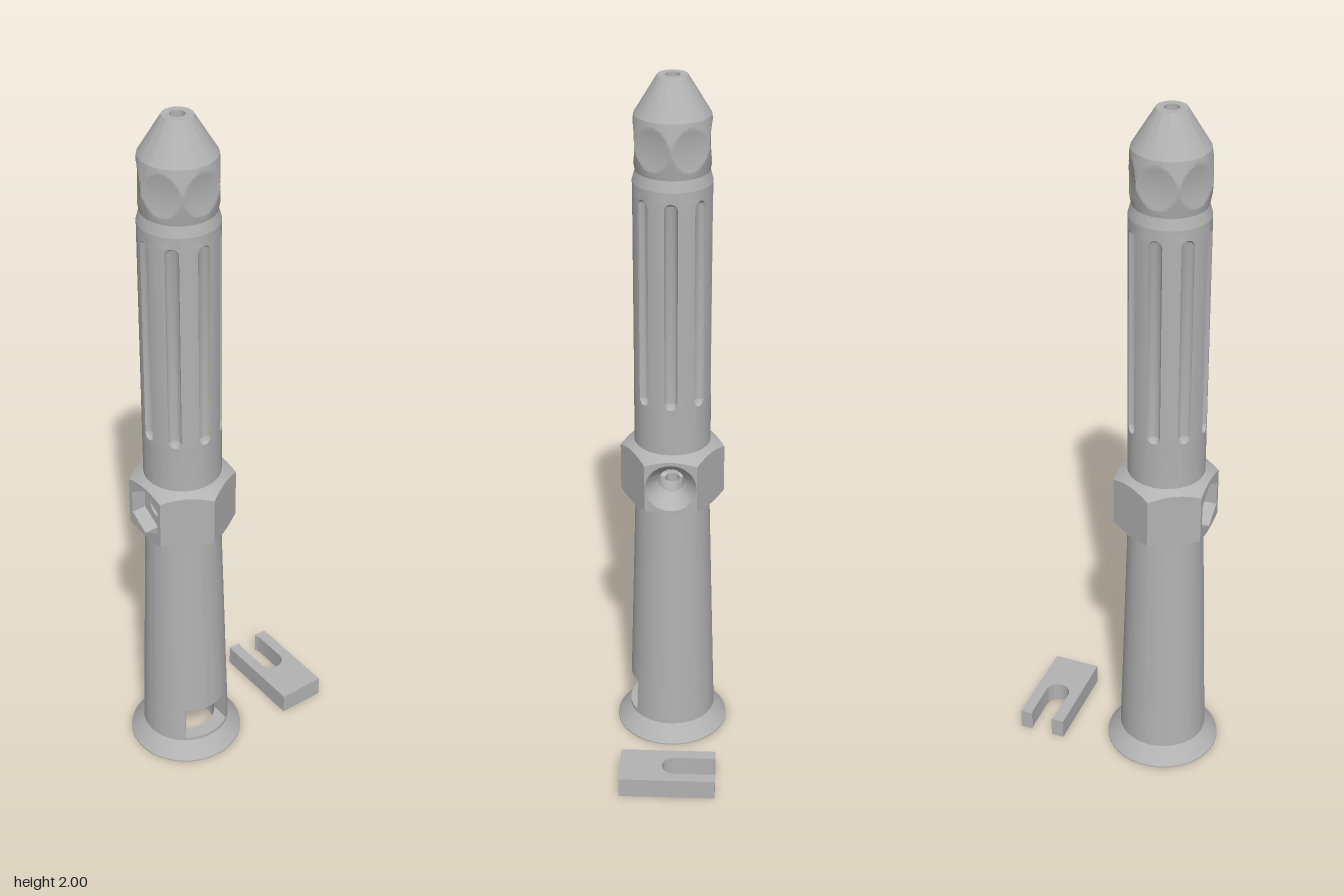
import * as THREE from 'three';
import { toCreasedNormals } from 'three/addons/utils/BufferGeometryUtils.js';

const CX = -0.121, TAU = Math.PI * 2, SEG = 96;
const R = 0.107;                       // shaft radius
const BORE = 0.085, PIN = 0.036;       // lower bore, cross hole
const HOLE_Y = 0.862, APO = 0.127;     // cross hole height, hex apothem

// Grid surface: columns run counter-clockwise seen from above, rows run up the outside
function surf(cols, rows, fn, crease = 0.4) {
  const pos = [], idx = [];
  for (let i = 0; i <= rows; i++) {
    for (let j = 0; j <= cols; j++) {
      const [r, y, a] = fn(i, j);
      pos.push(r * Math.sin(a), y, r * Math.cos(a));
      if (i < rows && j < cols) {
        const p = i * (cols + 1) + j, q = p + cols + 1;
        idx.push(p, p + 1, q, p + 1, q + 1, q);
      }
    }
  }
  const g = new THREE.BufferGeometry();
  g.setAttribute('position', new THREE.Float32BufferAttribute(pos, 3));
  g.setIndex(idx);
  return toCreasedNormals(g, crease);
}

const revolve = (pts, from = 0, to = TAU) => surf(SEG, pts.length - 1,
  (i, j) => [pts[i][0], pts[i][1], from + (to - from) * j / SEG]);

// Distance to the edge of a regular hexagon with flats facing +x and -x
const hexRadius = (a, apothem) => {
  const step = Math.PI / 3, o = a - Math.PI / 2;
  return apothem / Math.cos(o - step * Math.round(o / step));
};

function ngonPath(n, r, start, cy) {
  const p = [];
  for (let i = 0; i < n; i++) {
    const a = start + TAU * i / n;
    p.push(new THREE.Vector2(r * Math.cos(a), cy + r * Math.sin(a)));
  }
  return p;
}

export function createModel() {
  const grey = new THREE.MeshStandardMaterial({ color: 0xb2b2b2, side: THREE.DoubleSide });
  grey.name = 'plain grey';
  const model = new THREE.Group();
  const tower = new THREE.Group();
  tower.name = 'handle';
  tower.position.x = CX;
  model.add(tower);
  const add = (name, geo, parent = tower) => {
    const m = new THREE.Mesh(geo, grey);
    m.name = name;
    parent.add(m);
    return m;
  };

  // Flared foot and tapered lower tube, with a window through the front wall
  const y0 = 0.06, y1 = 0.165, half = 0.073;
  const wall = y => 0.126 - 0.02 * (y - 0.05) / 0.715;
  add('foot', revolve([[BORE, y0], [BORE, 0], [0.164, 0], [0.164, 0.004], [0.126, 0.05], [wall(y0), y0]]));
  const outA = Math.asin(half / wall(y0)), inA = Math.asin(half / BORE);
  add('windowBandOuter', revolve([[wall(y0), y0], [wall(y1), y1]], outA, TAU - outA));
  add('windowBandInner', revolve([[BORE, y1], [BORE, y0]], inA, TAU - inA));
  for (const y of [y0, y1]) {
    const ends = y === y0 ? [wall(y), BORE] : [BORE, wall(y)];
    add('windowLedge', revolve(ends.map(r => [r, y]), -inA, inA));
  }
  const zOut = wall(y0) * Math.cos(outA), zIn = BORE * Math.cos(inA);
  for (const s of [-1, 1]) {
    const jamb = new THREE.PlaneGeometry(zOut - zIn, y1 - y0).rotateY(-s * Math.PI / 2);
    add('windowJamb', jamb.translate(s * half, (y0 + y1) / 2, (zOut + zIn) / 2));
  }
  add('lowerTube', revolve([[wall(y1), y1], [0.106, 0.77]]));
  add('lowerBore', revolve([[0.02, 0.83], [0.02, 0.74], [BORE, 0.7], [BORE, y1]]));

  // Hexagonal collar: conical chamfers above and below, six flat sides
  const topY = r => 0.957 - (r - R) * 0.65;
  const lowY = r => 0.77 + (r - 0.106) * 0.5;
  add('collarTop', surf(SEG, 1, (i, j) => {
    const a = TAU * j / SEG, r = i ? R : hexRadius(a, APO);
    return [r, topY(r), a];
  }));
  add('collarUnderside', surf(SEG, 1, (i, j) => {
    const a = TAU * j / SEG, r = i ? hexRadius(a, APO) : 0.106;
    return [r, lowY(r), a];
  }));
  const side = APO * Math.tan(Math.PI / 6), N = 16;
  for (let k = 0; k < 6; k++) {
    const pts = [];
    for (let i = 0; i <= N; i++) {
      const s = -side + 2 * side * i / N;
      pts.push(new THREE.Vector2(s, lowY(Math.hypot(APO, s))));
    }
    for (let i = N; i >= 0; i--) {
      const s = -side + 2 * side * i / N;
      pts.push(new THREE.Vector2(s, topY(Math.hypot(APO, s))));
    }
    const shape = new THREE.Shape(pts);
    if (k === 0) shape.holes.push(new THREE.Path(ngonPath(48, 0.072, 0, HOLE_Y)));
    if (k === 3) shape.holes.push(new THREE.Path(ngonPath(6, 0.07, Math.PI / 2, HOLE_Y)));
    add('collarSide', new THREE.ShapeGeometry(shape)
      .translate(0, 0, APO).rotateY(Math.PI / 2 + k * Math.PI / 3));
  }

  // Cross hole: countersink on the left, nut pocket on the right
  const bar = (name, rLeft, rRight, xa, xb, n = 48) => add(name, toCreasedNormals(
    new THREE.CylinderGeometry(rLeft, rRight, xb - xa, n, 1, true)
      .rotateZ(-Math.PI / 2).translate((xa + xb) / 2, HOLE_Y, 0), 0.4));
  bar('countersink', 0.072, PIN, 0.08, APO);
  bar('crossHoleLeft', PIN, PIN, 0.02, 0.08);
  bar('crossHoleRight', PIN, PIN, -0.085, -0.02);
  const pocketFloor = new THREE.Shape(ngonPath(6, 0.07, Math.PI / 2, HOLE_Y));
  pocketFloor.holes.push(new THREE.Path(ngonPath(48, PIN, 0, HOLE_Y)));
  add('nutPocketFloor', new THREE.ShapeGeometry(pocketFloor)
    .rotateY(-Math.PI / 2).translate(-0.085, 0, 0));
  const pocketWall = new THREE.CylinderGeometry(0.07, 0.07, APO - 0.085, 6, 1, true);
  add('nutPocketWall', toCreasedNormals(pocketWall.rotateX(0).rotateZ(-Math.PI / 2)
    .rotateX(Math.PI / 2).translate(-(APO + 0.085) / 2, HOLE_Y, 0), 0.4));

  // Grip with eight round-ended flutes
  const W = 0.018, E = 8;
  const rows = [[0.957, 0]];
  for (let i = 0; i <= E; i++) {
    const a = Math.PI / 2 * i / E;
    rows.push([1.095 + W * (1 - Math.cos(a)), W * Math.sin(a)]);
  }
  for (let i = E; i >= 0; i--) {
    const a = Math.PI / 2 * i / E;
    rows.push([1.69 - W * (1 - Math.cos(a)), W * Math.sin(a)]);
  }
  rows.push([1.72, 0]);
  const per = 16, pitch = TAU / 8, edge = R * pitch / 2;
  add('flutedGrip', surf(8 * per, rows.length - 1, (i, j) => {
    const [y, w] = rows[i], k = Math.floor(j / per), c = j % per;
    let s, depth = 0;
    if (c < 3) s = -edge + (edge - w) * c / 3;
    else if (c > 13) s = w + (edge - w) * (c - 13) / 3;
    else {
      s = w * Math.sin(Math.PI / 2 * (c - 8) / 5);
      depth = 0.85 * Math.sqrt(Math.max(0, w * w - s * s));
    }
    return [R - depth, y, k * pitch + s / R];
  }, 0.5));

  // Neck and six-sided scooped knob
  add('neck', revolve([[R, 1.72], [0.099, 1.75]]));
  const knobRows = 40, mid = 1.825;
  add('scoopedKnob', surf(144, knobRows, (i, j) => {
    const y = 1.75 + 0.15 * i / knobRows, d = y - mid, a = TAU * j / 144;
    const bicone = 0.113 - Math.abs(d) * (d > 0 ? 0.16 : 0.187);
    const scoop = hexRadius(a + Math.PI / 6, 0.097 + 1.6 * d * d);
    return [Math.min(bicone, scoop), y, a];
  }, 0.3));

  // Nose cone with the central bore
  add('noseCone', revolve([[0.101, 1.9], [0.04, 2], [0.02, 2], [0.02, 0.895]]));

  // Separate forked clip lying beside the handle
  const mx = 0.2155, hw = 0.0685, hz = 0.138, r = 0.036;
  const clip = new THREE.Shape();
  clip.moveTo(mx - hw, -hz);
  clip.lineTo(mx + hw, -hz);
  clip.lineTo(mx + hw, hz);
  clip.lineTo(mx + 0.031, hz);
  clip.quadraticCurveTo(mx + r, hz - 0.01, mx + r, hz - 0.022);
  clip.lineTo(mx + r, 0.02);
  clip.absarc(mx, 0.02, r, 0, Math.PI, true);
  clip.lineTo(mx - r, hz - 0.022);
  clip.quadraticCurveTo(mx - r, hz - 0.01, mx - 0.031, hz);
  clip.lineTo(mx - hw, hz);
  const clipGeo = new THREE.ExtrudeGeometry(clip, { depth: 0.06, bevelEnabled: false, curveSegments: 24 });
  add('forkedClip', toCreasedNormals(clipGeo.rotateX(-Math.PI / 2), 0.5), model);

  return model;
}
